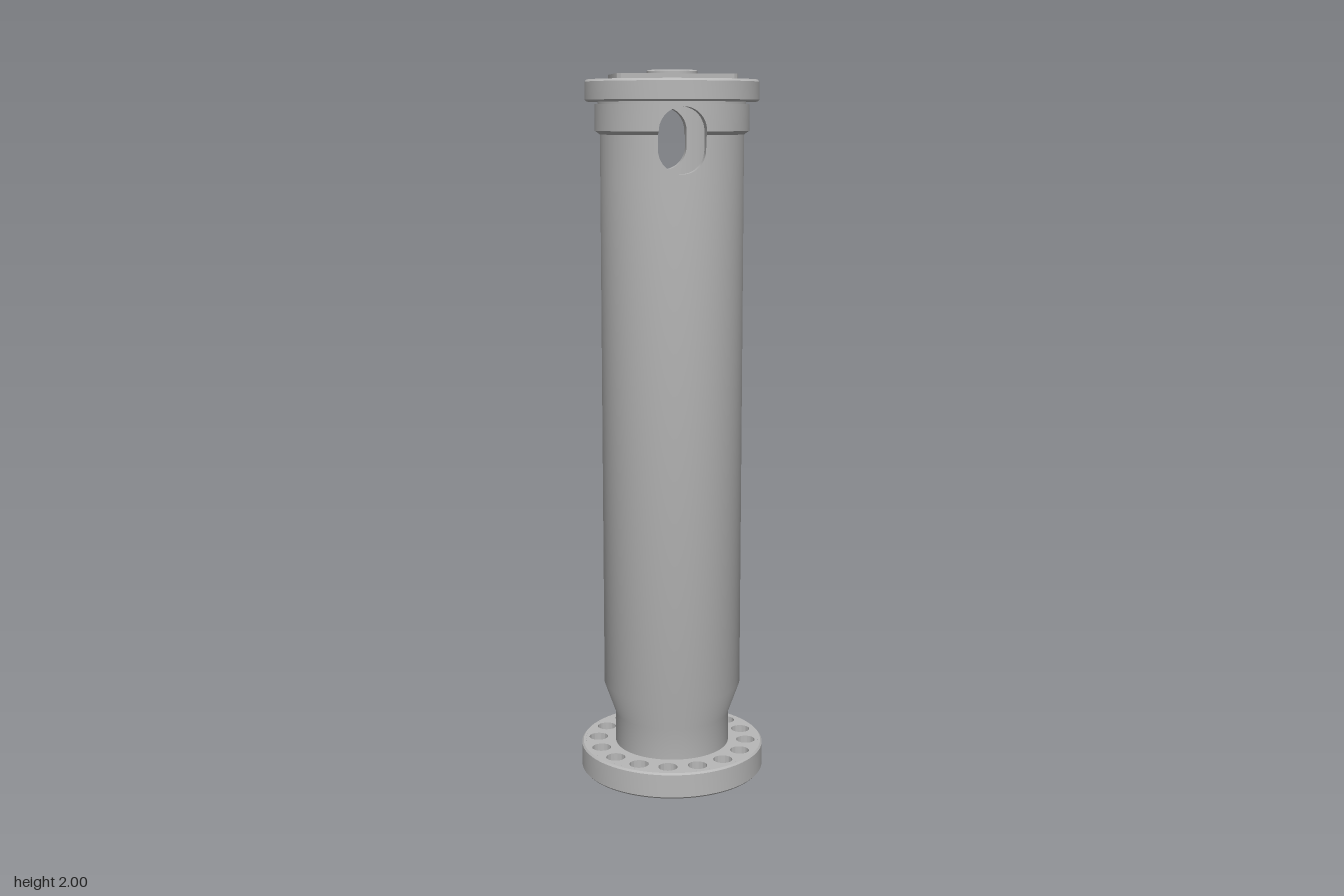
import * as THREE from 'three';
import { toCreasedNormals } from 'three/addons/utils/BufferGeometryUtils.js';

const SEG = 96;
const BORE = 0.139;
const WALL_IN = 0.167, WALL_OUT = 0.195;
// Obround window cut straight through the upper tube, front to back
const SLOT = { w: 0.0635, mid: 1.817, straight: 0.0235 };

export function createModel() {
  const model = new THREE.Group();
  const steel = new THREE.MeshStandardMaterial({ color: 0xb8b8b8 });
  steel.name = 'grey steel';

  const add = (name, geometry, y = 0, parent = model) => {
    const mesh = new THREE.Mesh(toCreasedNormals(geometry, 0.5), steel);
    mesh.name = name;
    mesh.position.y = y;
    parent.add(mesh);
    return mesh;
  };
  const lathe = (pts) =>
    new THREE.LatheGeometry(pts.map(([r, y]) => new THREE.Vector2(r, y)), SEG);

  // Horizontal plate lying on y = 0; holes are [x, z, radius]
  const plate = (shape, holes, height) => {
    for (const [x, z, r] of holes) {
      shape.holes.push(new THREE.Path().absarc(x, -z, r, 0, Math.PI * 2, true));
    }
    const geo = new THREE.ExtrudeGeometry(shape, { depth: height, bevelEnabled: false, curveSegments: 40 });
    return geo.rotateX(-Math.PI / 2);
  };
  const disc = (r) => new THREE.Shape().absarc(0, 0, r, 0, Math.PI * 2, false);

  // Hollow body: raised foot, neck, taper and long tube
  add('tubeBody', lathe([
    [WALL_IN, 1.7], [WALL_IN, 0.29], [BORE, 0.19], [BORE, 0],
    [0.181, 0], [0.185, 0.004], [0.185, 0.025], [0.163, 0.025],
    [0.163, 0.19], [WALL_OUT, 0.28], [WALL_OUT, 1.7],
  ]));

  // Bottom flange: small bolt holes below, wide counterbores above
  const bolts = (r) => Array.from({ length: 16 }, (_, i) => {
    const a = (i + 0.5) * Math.PI / 8;
    return [0.214 * Math.cos(a), 0.214 * Math.sin(a), r];
  });
  const flange = new THREE.Group();
  flange.name = 'bottomFlange';
  model.add(flange);
  add('flangeLower', plate(disc(0.25), [[0, 0, 0.16], ...bolts(0.013)], 0.035), 0.025, flange);
  add('flangeUpper', plate(disc(0.25), [[0, 0, 0.16], ...bolts(0.027)], 0.04), 0.06, flange);
  add('flangeRim', lathe([
    [0.25, 0.025], [0.257, 0.025], [0.2615, 0.03], [0.2615, 0.095], [0.257, 0.1], [0.25, 0.1],
  ]), 0, flange);

  // Upper tube and collar, each made of two mirrored halves around the window
  for (const [name, ri, ro, y0, chamfer] of [
    ['slottedTube', WALL_IN, WALL_OUT, 1.7, 0],
    ['collar', 0.19, 0.209, 1.827, 0.013],
  ]) {
    const ring = new THREE.Group();
    ring.name = name;
    model.add(ring);
    const half = slottedHalfRing(ri, ro, y0, 1.91, chamfer);
    add(name + 'FrontHalf', half, 0, ring);
    add(name + 'BackHalf', half, 0, ring).rotation.y = Math.PI;
  }

  // Lid with its chamfered rim, pad and boss; ports run through all layers
  const ports = [[-0.111, -0.05, 0.014], [0.105, -0.06, 0.019], [-0.105, 0.058, 0.018], [0, 0, 0.04]];
  const lid = new THREE.Group();
  lid.name = 'lid';
  model.add(lid);
  add('lidDisc', plate(disc(0.2), ports, 0.07), 1.905, lid);
  add('lidRim', lathe([
    [0.2, 1.917], [0.231, 1.917], [0.2355, 1.922], [0.2355, 1.969], [0.23, 1.975], [0.2, 1.975],
  ]), 0, lid);

  const X = 0.163, Z = 0.111, R = 0.02;
  const pad = new THREE.Shape();
  pad.absarc(X - R, Z - R, R, 0, Math.PI / 2, false);
  pad.absarc(-X + R, Z - R, R, Math.PI / 2, Math.PI, false);
  pad.absarc(-X + R, -Z + R, R, Math.PI, Math.PI * 1.5, false);
  pad.absarc(X - R, -Z + R, R, Math.PI * 1.5, Math.PI * 2, false);
  add('lidPad', plate(pad, ports, 0.014), 1.975, lid);
  add('lidBoss', lathe([
    [0.04, 2], [0.04, 1.989], [0.068, 1.989], [0.068, 1.997], [0.065, 2], [0.04, 2],
  ]), 0, lid);

  return model;
}

// Half of a thick ring with the window at its +z side
function slottedHalfRing(ri, ro, y0, y1, chamfer) {
  const { w, mid, straight } = SLOT;
  const n = 20, m = 40, pos = [];
  const cols = [];
  for (let i = 0; i <= n; i++) {
    const x = -w * Math.cos(Math.PI * i / n);
    const arc = straight + Math.sqrt(Math.max(0, w * w - x * x));
    cols.push({ lo: mid - arc, hi: mid + arc, angle: (r) => Math.asin(x / r) });
  }
  for (let j = 1; j <= m; j++) {
    cols.push({ angle: (r) => {
      const edge = Math.asin(w / r);
      return edge + (Math.PI - 2 * edge) * j / m;
    } });
  }
  const P = (c, r, y) => [r * Math.sin(c.angle(r)), y, r * Math.cos(c.angle(r))];
  const quad = (a, b, c, d) => pos.push(...a, ...b, ...c, ...a, ...c, ...d);
  const block = (c, d, bc, bd, tc, td, cut = 0) => {
    quad(P(c, ro, bc + cut), P(d, ro, bd + cut), P(d, ro, td), P(c, ro, tc));
    quad(P(d, ri, bd), P(c, ri, bc), P(c, ri, tc), P(d, ri, td));
    quad(P(c, ro, tc), P(d, ro, td), P(d, ri, td), P(c, ri, tc));
    quad(P(c, ri, bc), P(d, ri, bd), P(d, ro, bd + cut), P(c, ro, bc + cut));
  };
  for (let k = 0; k < n + m; k++) {
    const c = cols[k], d = cols[k + 1];
    if (k >= n) {
      block(c, d, y0, y0, y1, y1, chamfer);
    } else {
      if (y0 < mid - straight) block(c, d, y0, y0, c.lo, d.lo);
      block(c, d, c.hi, d.hi, y1, y1);
    }
  }
  // Straight sides of the window
  const low = Math.max(y0, mid - straight), high = mid + straight;
  const L = cols[0], Rt = cols[n];
  quad(P(Rt, ri, low), P(Rt, ro, low), P(Rt, ro, high), P(Rt, ri, high));
  quad(P(L, ro, low), P(L, ri, low), P(L, ri, high), P(L, ro, high));

  const geo = new THREE.BufferGeometry();
  geo.setAttribute('position', new THREE.Float32BufferAttribute(pos, 3));
  geo.computeVertexNormals();
  return geo;
}
